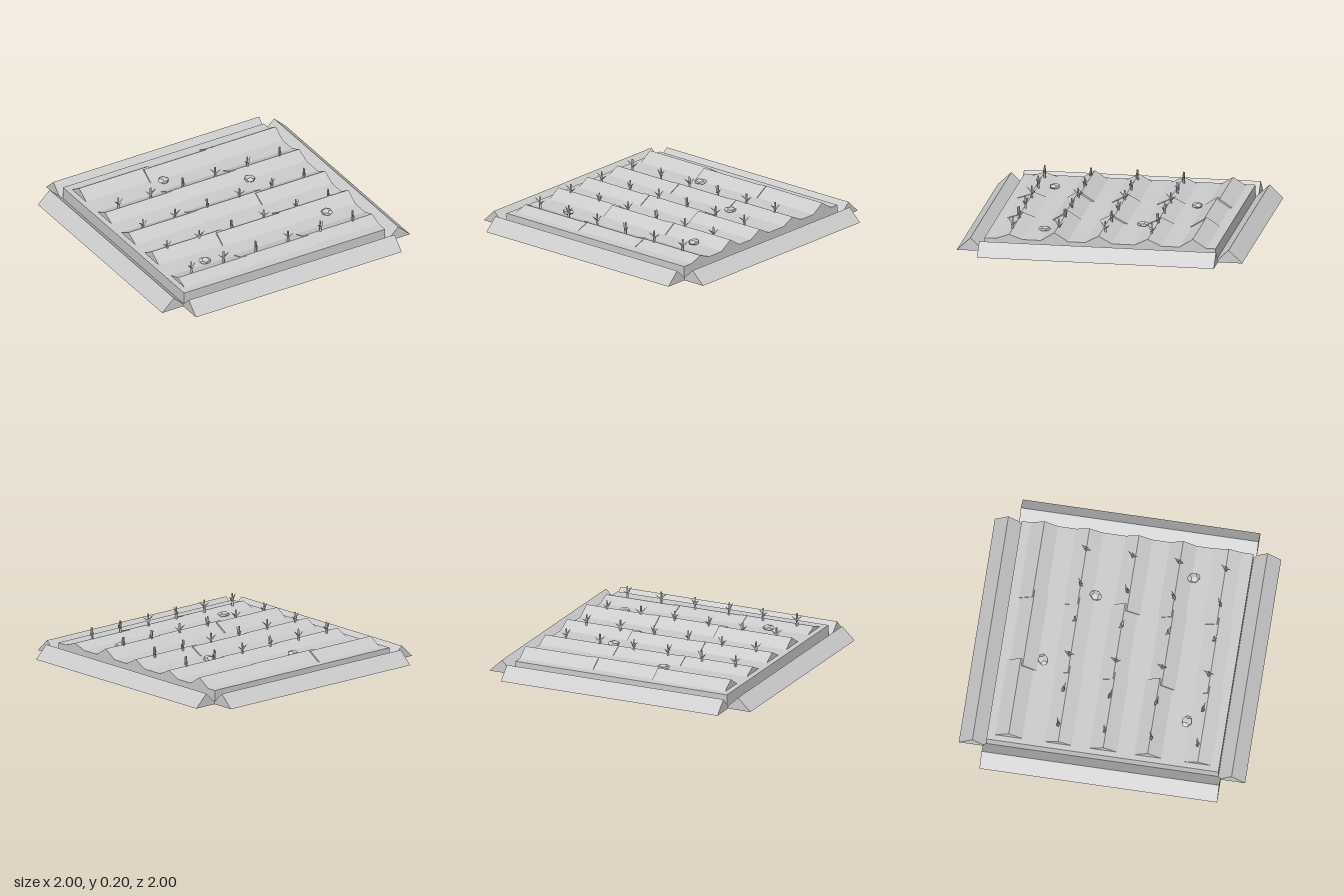
import * as THREE from 'three';

const mat = new THREE.MeshStandardMaterial({ color: 0xcccccc, flatShading: true });

// Triangular prism lying along x, base at y = 0
function prism(length, halfWidth, height) {
  const s = new THREE.Shape();
  s.moveTo(-halfWidth, 0);
  s.lineTo(halfWidth, 0);
  s.lineTo(0, height);
  s.closePath();
  const g = new THREE.ExtrudeGeometry(s, { depth: length, bevelEnabled: false });
  return g.translate(0, 0, -length / 2).rotateY(Math.PI / 2);
}

function add(parent, name, geometry, x = 0, y = 0, z = 0) {
  const m = new THREE.Mesh(geometry, mat);
  m.name = name;
  m.position.set(x, y, z);
  parent.add(m);
  return m;
}

// Stem with two slanting leaves
function sprout(x, z, turn) {
  const g = new THREE.Group();
  g.name = 'sprout';
  add(g, 'stem', new THREE.CylinderGeometry(0.006, 0.01, 0.095, 4), 0, 0.157, 0);
  for (const side of [-1, 1]) {
    const leaf = new THREE.ConeGeometry(0.015, 0.06, 3);
    leaf.scale(0.5, 1, 1).translate(0, 0.025, 0).rotateZ(-side * 0.85);
    add(g, 'leaf', leaf, 0, side > 0 ? 0.15 : 0.158, 0);
  }
  g.position.set(x, 0, z);
  g.rotation.y = turn;
  return g;
}

export function createModel() {
  const root = new THREE.Group();
  root.name = 'farmPlot';

  // Soil slab
  add(root, 'soil', new THREE.BoxGeometry(1.62, 0.09, 1.62), 0, 0.045, 0);

  // Sloped border on four sides
  const border = prism(1.66, 0.095, 0.09);
  for (let i = 0; i < 4; i++) {
    const a = i * Math.PI / 2;
    add(root, 'border', border, Math.sin(a) * 0.905, 0, Math.cos(a) * 0.905).rotation.y = a;
  }

  // Furrow ridges: height above soil, then z of the three pieces
  const rows = [
    [0.06, -0.66, -0.64, -0.65],
    [0.045, -0.315, -0.325, -0.335],
    [0.05, 0, -0.01, 0.01],
    [0.06, 0.31, 0.33, 0.32],
    [0.033, 0.66, 0.65, 0.637],
  ];
  rows.forEach(([height, ...pieces]) => {
    const ridge = prism(0.56, 0.094, height);
    pieces.forEach((z, i) => add(root, 'ridge', ridge, -0.49 + i * 0.51, 0.09, z));
  });

  // Sprouts on every ridge except the rearmost
  const turns = [0.25, 2.9, 1.3, -0.4, 0.5, 1.1];
  for (let r = 0; r < 4; r++) {
    turns.forEach((t, c) => root.add(sprout(-0.65 + c * 0.26, -0.335 + r * 0.325, t)));
  }

  // Flattened stones between the ridges
  const stones = [[-0.18, -0.51, 0.4], [0.34, -0.22, 1.2], [0.57, 0.43, 2.0], [-0.48, 0.54, 2.9]];
  for (const [x, z, turn] of stones) {
    const stone = new THREE.DodecahedronGeometry(0.043, 0).scale(1.05, 0.45, 0.9);
    add(root, 'stone', stone, x, 0.107, z).rotation.y = turn;
  }
  return root;
}
